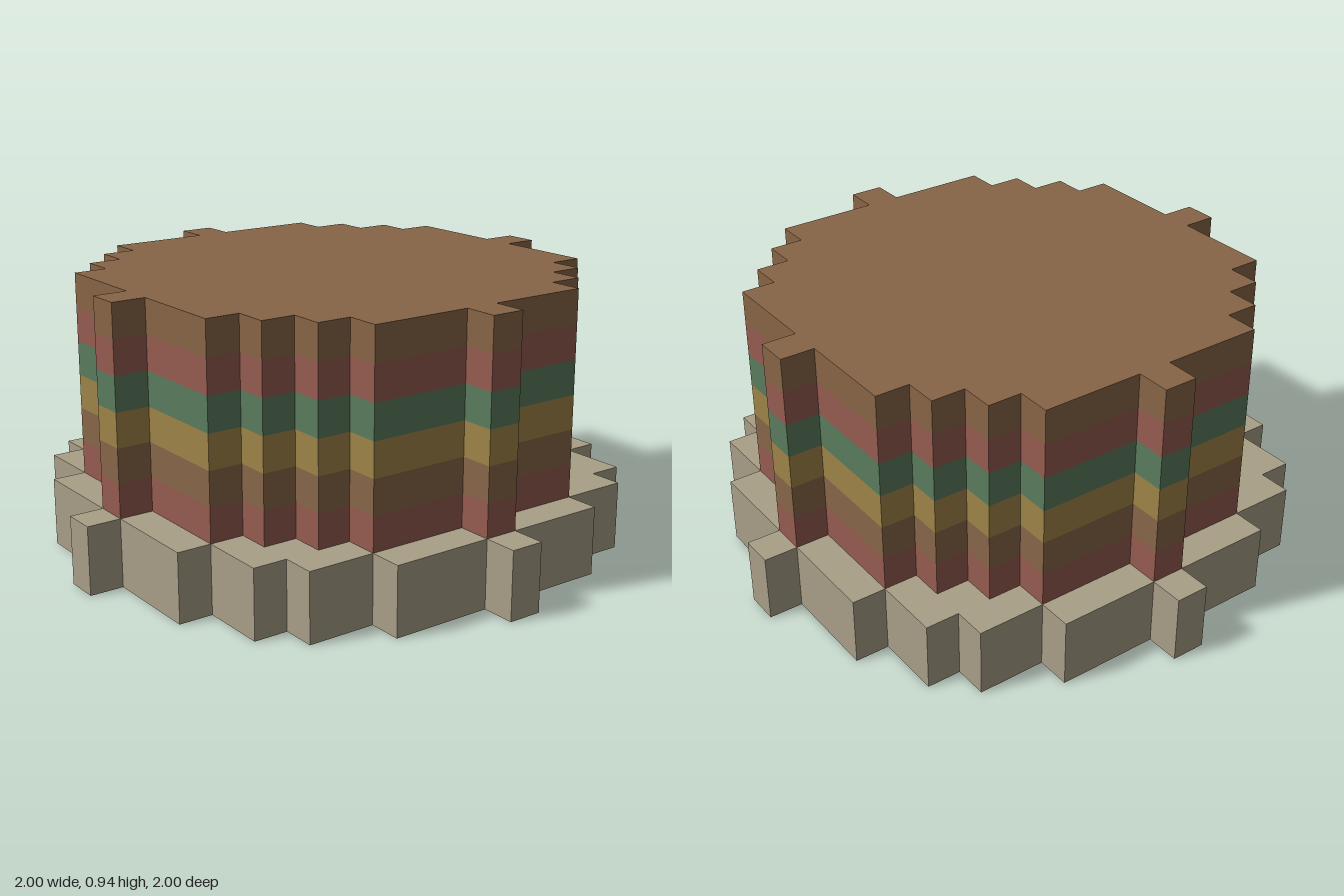
import * as THREE from 'three';

const U = 2 / 17; // one block cell

// Quarter outlines in cells, from the +x spur round to the +z spur
const BASE = [[8.5, 0.5], [7.5, 0.5], [7.5, 3.5], [6.5, 3.5], [6.5, 5.5], [5.5, 5.5],
  [5.5, 6.5], [3.5, 6.5], [3.5, 7.5], [0.5, 7.5], [0.5, 8.5]];
const DRUM = [[7.5, 0.5], [6.5, 0.5], [6.5, 3.5], [5.5, 3.5], [5.5, 4.5], [4.5, 4.5],
  [4.5, 5.5], [3.5, 5.5], [3.5, 6.5], [0.5, 6.5], [0.5, 7.5]];

// Repeat the quarter four times by quarter turns
function steppedDisc(quarter) {
  const points = [];
  let turn = quarter;
  for (let i = 0; i < 4; i++) {
    points.push(...turn.map(([x, y]) => new THREE.Vector2(x * U, y * U)));
    turn = turn.map(([x, y]) => [-y, x]);
  }
  return new THREE.Shape(points);
}

function layer(name, quarter, bottom, height, color) {
  const geometry = new THREE.ExtrudeGeometry(steppedDisc(quarter), { depth: height * U, bevelEnabled: false });
  geometry.rotateX(-Math.PI / 2);
  geometry.translate(0, bottom * U, 0);
  const mesh = new THREE.Mesh(geometry, new THREE.MeshStandardMaterial({ color }));
  mesh.name = name;
  return mesh;
}

export function createModel() {
  const group = new THREE.Group();
  group.name = 'layeredRoundBlock';

  // Wide stone-coloured plate
  group.add(layer('basePlate', BASE, 0, 2, 0xa99f87));

  // Coloured bands stacked into the drum
  const bands = [
    ['lowerRedBand', 0x965b4f], ['lowerBrownBand', 0x876648], ['yellowBand', 0x9e8448],
    ['greenBand', 0x5a7b5e], ['upperRedBand', 0x965b4f], ['topBrownBand', 0x886547],
  ];
  bands.forEach(([name, color], i) => group.add(layer(name, DRUM, 2 + i, 1, color)));
  return group;
}
